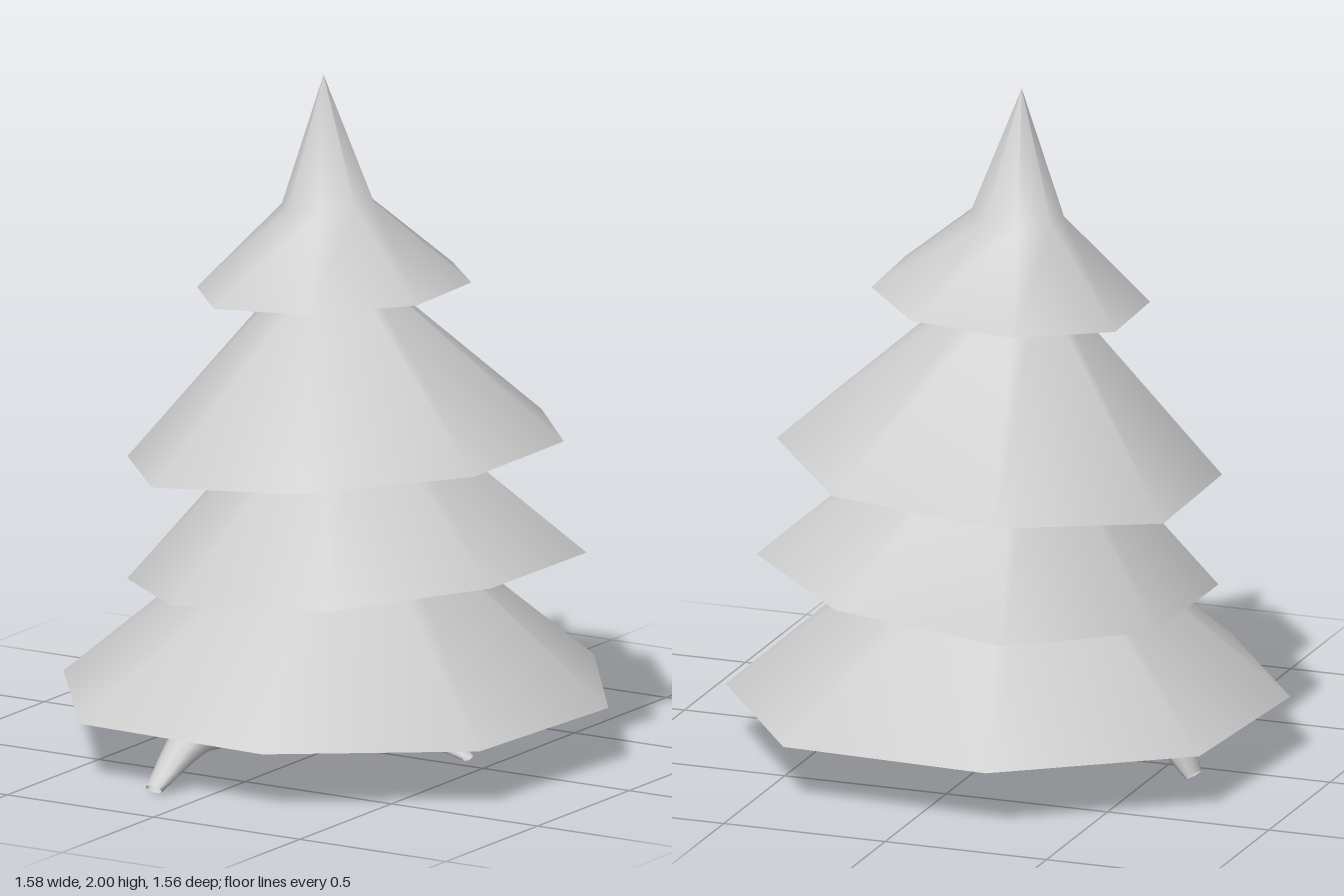
import * as THREE from 'three';

const V = (x, y, z) => new THREE.Vector3(x, y, z);
const material = new THREE.MeshStandardMaterial({ color: 0xcccccc, side: THREE.DoubleSide });

// Smooth skin over equal-sized rings of points, ordered bottom to top
function loft(rings) {
  const n = rings[0].length;
  const index = [];
  for (let r = 0; r < rings.length - 1; r++) {
    for (let i = 0; i < n; i++) {
      const a = r * n + i, b = r * n + (i + 1) % n;
      index.push(a, a + n, b, b, a + n, b + n);
    }
  }
  const geometry = new THREE.BufferGeometry().setFromPoints(rings.flat());
  geometry.setIndex(index);
  geometry.computeVertexNormals();
  return geometry;
}

// Tapered tube along a curve; sizes are [half width, half height] at each path point
function taperedTube(path, sizes, steps = 14, sides = 10) {
  const curve = new THREE.CatmullRomCurve3(path);
  const rings = [];
  for (let s = 0; s <= steps; s++) {
    const t = s / steps;
    const f = t * (sizes.length - 1);
    const k = Math.min(Math.floor(f), sizes.length - 2);
    const w = THREE.MathUtils.lerp(sizes[k][0], sizes[k + 1][0], f - k);
    const h = THREE.MathUtils.lerp(sizes[k][1], sizes[k + 1][1], f - k);
    const tangent = curve.getTangent(t);
    const u = tangent.clone().cross(V(0, 1, 0)).normalize();
    const v = u.clone().cross(tangent);
    const center = curve.getPoint(t);
    rings.push(Array.from({ length: sides }, (_, i) => {
      const a = (i / sides) * Math.PI * 2;
      return center.clone().addScaledVector(u, w * Math.cos(a)).addScaledVector(v, h * Math.sin(a));
    }));
  }
  return loft(rings);
}

// Each skirt: rim corners in x and z, rim height and tilt along x, the point it narrows to, and how far up it runs
const skirts = [
  {
    name: 'bottomBranches', y: 0.17, tilt: 0, apex: V(0, 0.87, 0), reach: 0.8,
    rim: [[-0.23, -0.785], [0.41, -0.75], [0.785, -0.23], [0.745, 0.41], [0.23, 0.775], [-0.415, 0.745], [-0.79, 0.23], [-0.75, -0.41]],
  },
  {
    name: 'lowerBranches', y: 0.535, tilt: 0.099, apex: V(-0.01, 1.19, 0), reach: 0.82,
    rim: [[-0.23, -0.64], [0.29, -0.635], [0.66, -0.31], [0.65, 0.2], [0.33, 0.58], [-0.2, 0.58], [-0.56, 0.25], [-0.555, -0.25]],
  },
  {
    name: 'upperBranches', y: 0.884, tilt: 0.09, apex: V(-0.04, 1.53, 0), reach: 0.86,
    rim: [[-0.2, -0.635], [0.3, -0.64], [0.62, -0.25], [0.625, 0.25], [0.24, 0.58], [-0.27, 0.58], [-0.59, 0.2], [-0.6, -0.31]],
  },
  {
    name: 'topBranches', y: 1.376, tilt: 0.065, apex: V(-0.045, 2, 0), reach: 1,
    rim: [[-0.16, -0.38], [0.15, -0.39], [0.36, -0.16], [0.375, 0.16], [0.14, 0.375], [-0.18, 0.385], [-0.39, 0.14], [-0.4, -0.17]],
  },
];

function skirtGeometry({ y, tilt, apex, reach, rim }) {
  const base = rim.map(([x, z]) => V(x, y + tilt * x, z));
  if (reach < 1) return loft([base, base.map((p) => p.clone().lerp(apex, reach))]);
  // The top skirt bends into a steep spire
  const bend = base.map((p) => V(-0.027 + p.x * 0.335, 1.62 + p.x * 0.02, p.z * 0.335));
  return loft([base, bend, base.map(() => apex.clone())]);
}

// Roots run from inside the trunk out to their tips
const roots = [
  {
    name: 'frontRoot', path: [V(-0.02, 0.3, 0.08), V(-0.07, 0.2, 0.32), V(-0.12, 0.15, 0.58), V(-0.15, 0.025, 0.76)],
    sizes: [[0.17, 0.15], [0.13, 0.11], [0.07, 0.055], [0.03, 0.015]],
  },
  {
    name: 'rightRoot', path: [V(-0.08, 0.3, -0.02), V(-0.32, 0.22, -0.06), V(-0.52, 0.15, -0.09), V(-0.62, 0.025, -0.11)],
    sizes: [[0.17, 0.15], [0.12, 0.09], [0.07, 0.06], [0.035, 0.02]],
  },
  {
    name: 'leftRoot', path: [V(0.06, 0.3, 0.04), V(0.27, 0.19, 0.16), V(0.46, 0.18, 0.24), V(0.63, 0.125, 0.29)],
    sizes: [[0.17, 0.15], [0.14, 0.09], [0.09, 0.045], [0.02, 0.012]],
  },
  {
    name: 'backRoot', path: [V(0.03, 0.3, -0.07), V(0.12, 0.23, -0.22), V(0.19, 0.19, -0.36), V(0.24, 0.145, -0.49)],
    sizes: [[0.16, 0.14], [0.12, 0.08], [0.08, 0.045], [0.02, 0.012]],
  },
];

export function createModel() {
  const tree = new THREE.Group();
  tree.name = 'pineTree';
  const add = (name, geometry) => {
    const mesh = new THREE.Mesh(geometry, material);
    mesh.name = name;
    tree.add(mesh);
    return mesh;
  };

  // Trunk: closed underneath, tapering up inside the branches
  const profile = [[0, 0.12], [0.17, 0.12], [0.25, 0.17], [0.23, 0.27], [0.19, 0.45], [0.145, 0.7], [0.105, 1.05], [0.07, 1.4], [0.03, 1.65]];
  add('trunk', new THREE.LatheGeometry(profile.map(([r, y]) => new THREE.Vector2(r, y)), 8));

  for (const root of roots) add(root.name, taperedTube(root.path, root.sizes));
  for (const skirt of skirts) add(skirt.name, skirtGeometry(skirt));

  // Rest the lowest root tip on the ground
  const low = new THREE.Box3().setFromObject(tree).min.y;
  for (const root of roots) tree.getObjectByName(root.name).position.y = -low;
  return tree;
}
